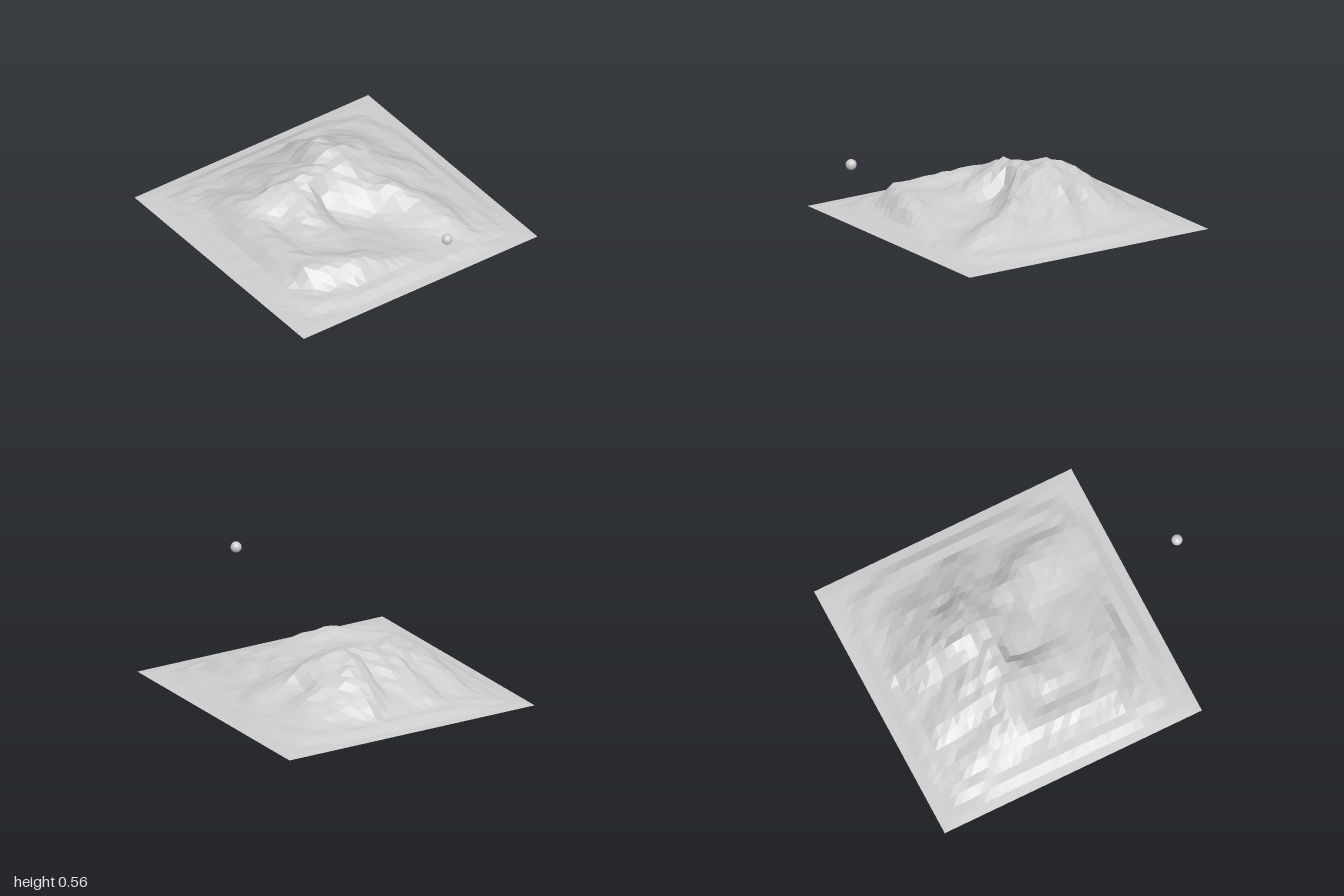
import * as THREE from 'three';

const SIZE = 1.7, CELLS = 29, CENTRE_X = -0.15;

// Crest and valley lines as x, z, height triples
const spine = [-0.47, -0.1, 0.315, -0.35, -0.1, 0.33, -0.29, -0.03, 0.29, -0.29, 0.14, 0.295, -0.31, 0.26, 0.275, -0.35, 0.4, 0.21, -0.29, 0.52, 0.16];
const northEastRidge = [-0.35, -0.1, 0.33, -0.24, -0.14, 0.295, -0.13, -0.2, 0.22, 0, -0.3, 0.21, 0.12, -0.38, 0.165, 0.35, -0.45, 0.11, 0.5, -0.5, 0.06];
const southRim = [-0.29, 0.52, 0.16, 0, 0.55, 0.145, 0.28, 0.53, 0.15, 0.4, 0.24, 0.155, 0.46, 0.05, 0.1, 0.5, -0.1, 0.065];
const northSpur = [-0.35, -0.1, 0.33, -0.33, -0.22, 0.305, -0.28, -0.32, 0.255, -0.24, -0.42, 0.18, -0.2, -0.56, 0.115];
const northWestSpur = [-0.47, -0.1, 0.31, -0.48, -0.22, 0.26, -0.6, -0.35, 0.15, -0.72, -0.46, 0.07];
const westSpur = [-0.47, -0.1, 0.31, -0.6, -0.12, 0.23, -0.75, -0.15, 0.13, -0.86, -0.18, 0.05];
const lowerWestSpur = [-0.3, 0.2, 0.285, -0.55, 0.24, 0.19, -0.75, 0.27, 0.1];
const southWestSpur = [-0.35, 0.4, 0.21, -0.5, 0.48, 0.15, -0.64, 0.53, 0.09];
const eastSpur = [-0.29, 0.18, 0.285, -0.1, 0.24, 0.19, 0.04, 0.25, 0.13];
const basin = [0.7, -0.26, 0, 0.47, -0.22, 0.045, 0.2, -0.14, 0.06, 0, 0.05, 0.08, -0.12, 0.08, 0.11];
const basinFloor = [0.1, -0.1, 0.065, 0.2, 0.05, 0.08, 0.26, 0.2, 0.11];
const southHollow = [0.1, 0.4, 0.115, -0.14, 0.42, 0.12];
const westGully = [-0.42, 0.03, 0.24, -0.6, 0.05, 0.15, -0.82, 0.07, 0.055];
const southWestGully = [-0.46, 0.36, 0.16, -0.72, 0.42, 0.055];
const northWestGully = [-0.4, -0.4, 0.15, -0.42, -0.62, 0.05];
const northGully = [-0.02, -0.46, 0.11, 0.08, -0.64, 0.045];

// Closed rounded-square contour around the foot of the mountain
function contour(radius, height, power) {
  const out = [];
  for (let i = 0; i <= 32; i++) {
    const a = (i / 32) * Math.PI * 2, c = Math.cos(a), s = Math.sin(a);
    const r = radius / Math.pow(Math.abs(c) ** power + Math.abs(s) ** power, 1 / power);
    out.push(CENTRE_X + r * c, r * s, height);
  }
  return out;
}
const H = SIZE / 2, X0 = CENTRE_X - H, X1 = CENTRE_X + H;
const border = [X0, -H, 0, X1, -H, 0, X1, H, 0, X0, H, 0, X0, -H, 0];

const paths = [spine, northEastRidge, southRim, northSpur, northWestSpur, westSpur,
  lowerWestSpur, southWestSpur, eastSpur, basin, basinFloor, southHollow, westGully,
  southWestGully, northWestGully, northGully, contour(0.71, 0.042, 4), contour(0.8, 0.008, 8), border];

// Distance to a path, and the path's height at its nearest point
function nearest(path, x, z) {
  let best = Infinity, height = 0;
  for (let i = 0; i + 5 < path.length; i += 3) {
    const [ax, az, ah, bx, bz, bh] = path.slice(i, i + 6);
    const dx = bx - ax, dz = bz - az;
    const t = THREE.MathUtils.clamp(((x - ax) * dx + (z - az) * dz) / (dx * dx + dz * dz), 0, 1);
    const d = Math.hypot(x - ax - dx * t, z - az - dz * t);
    if (d < best) { best = d; height = ah + (bh - ah) * t; }
  }
  return [best, height];
}

// Repeatable roughness per grid point
function rough(x, z) {
  const s = Math.sin(x * 127.1 + z * 311.7) * 43758.5453;
  return s - Math.floor(s) - 0.5;
}

// Ground height blended from all the lines
function groundHeight(x, z) {
  let sum = 0, total = 0;
  for (const path of paths) {
    const [d, h] = nearest(path, x, z);
    const w = 1 / (d * d + 1e-5);
    sum += w * w ** 0.25 * h;
    total += w * w ** 0.25;
  }
  const h = sum / total;
  return h * (1 + 0.09 * rough(x, z));
}

export function createModel() {
  const group = new THREE.Group();
  group.name = 'mountainScene';

  // Faceted mountain: a flat grid lifted by the height rule
  const ground = new THREE.PlaneGeometry(SIZE, SIZE, CELLS, CELLS);
  ground.rotateX(-Math.PI / 2);
  ground.translate(CENTRE_X, 0, 0);
  const p = ground.attributes.position;
  for (let i = 0; i < p.count; i++) {
    const x = p.getX(i), z = p.getZ(i);
    const onEdge = Math.max(Math.abs(x - CENTRE_X), Math.abs(z)) > H - 0.001;
    p.setY(i, onEdge ? 0 : groundHeight(x, z));
  }
  ground.computeVertexNormals();
  const mountain = new THREE.Mesh(ground, new THREE.MeshStandardMaterial({
    color: 0xcccccc, flatShading: true, side: THREE.DoubleSide,
  }));
  mountain.name = 'mountain';
  group.add(mountain);

  // Small ball floating beside the mountain
  const sun = new THREE.Mesh(
    new THREE.IcosahedronGeometry(0.033, 2),
    new THREE.MeshStandardMaterial({ color: 0xcccccc, flatShading: true }),
  );
  sun.name = 'sun';
  sun.position.set(0.967, 0.525, 0);
  group.add(sun);

  return group;
}
